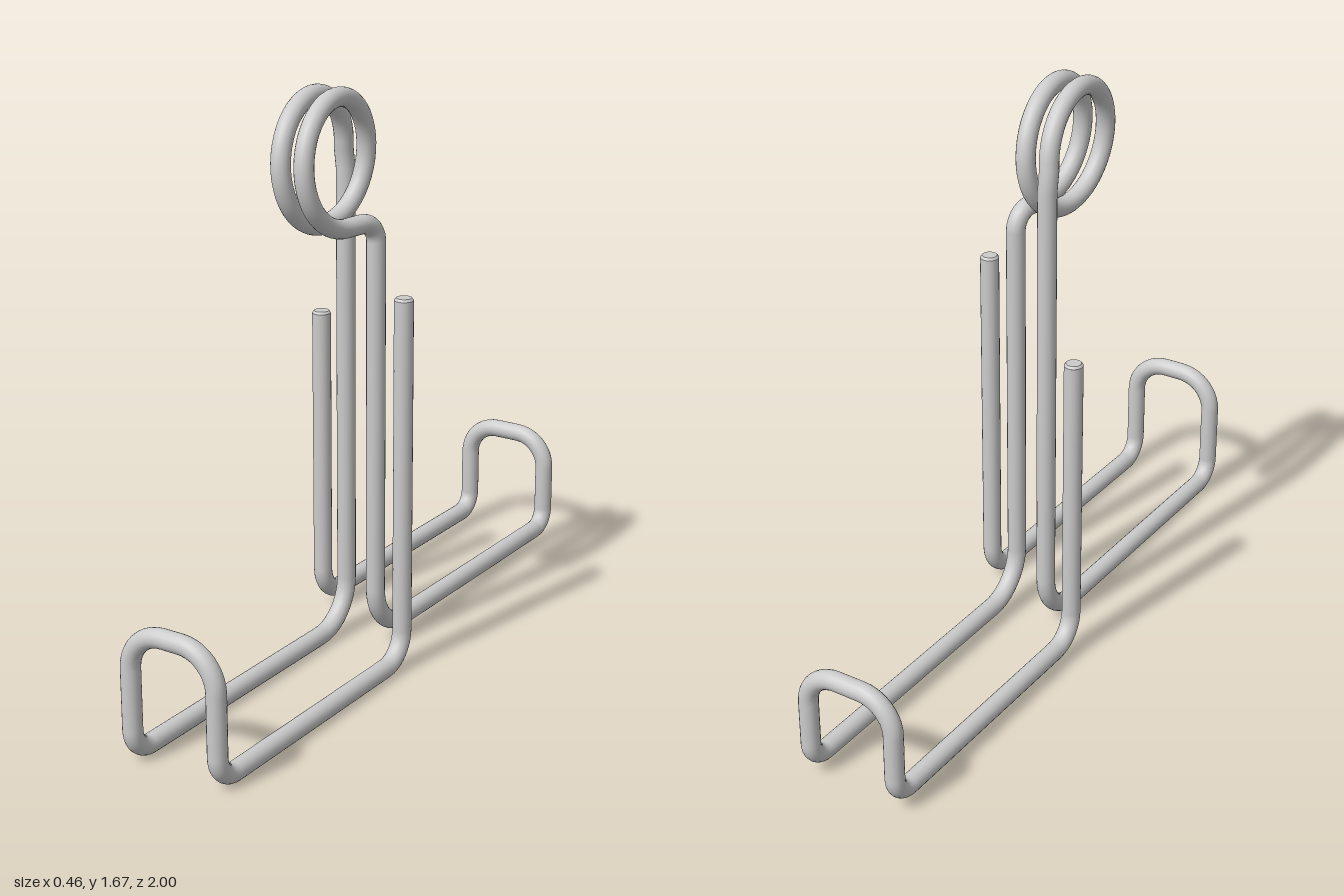
import * as THREE from 'three';

const R = 0.0275; // wire radius
const V = (x, y, z) => new THREE.Vector3(x, y, z);

// Curve that visits every sampled point in order, so bends keep their exact shape
class WireCurve extends THREE.Curve {
  constructor(points) {
    super();
    this.points = points;
  }
  index(t) {
    return Math.round(t * (this.points.length - 1));
  }
  getPoint(t, target = new THREE.Vector3()) {
    return target.copy(this.points[this.index(t)]);
  }
  getPointAt(t, target) {
    return this.getPoint(t, target);
  }
  getTangentAt(t, target = new THREE.Vector3()) {
    const i = this.index(t), p = this.points;
    const a = p[Math.max(i - 1, 0)], b = p[Math.min(i + 1, p.length - 1)];
    return target.subVectors(b, a).normalize();
  }
}

// Polyline with rounded corners; each corner is [x, y, z, bend radius]
function roundedPath(corners, steps = 10) {
  const pts = corners.map(c => V(c[0], c[1], c[2]));
  const out = [pts[0]];
  for (let i = 1; i < pts.length - 1; i++) {
    const r = corners[i][3];
    const toPrev = pts[i - 1].clone().sub(pts[i]).normalize();
    const toNext = pts[i + 1].clone().sub(pts[i]).normalize();
    const centre = pts[i].clone().addScaledVector(toPrev, r).addScaledVector(toNext, r);
    for (let k = 0; k <= steps; k++) {
      const a = (k / steps) * Math.PI / 2;
      out.push(centre.clone()
        .addScaledVector(toNext, -r * Math.cos(a))
        .addScaledVector(toPrev, -r * Math.sin(a)));
    }
  }
  out.push(pts[pts.length - 1]);
  return out;
}

export function createModel() {
  const model = new THREE.Group();
  model.name = 'wireStand';
  const material = new THREE.MeshStandardMaterial({ color: 0xcccccc });

  // Front post, front foot with its raised lip, and the rise to the coil
  const front = roundedPath([
    [0.202, 1.1, 0.097],
    [0.202, 0.028, 0.097, 0.09],
    [0.202, 0.028, 0.972, 0.07],
    [0.202, 0.387, 0.972, 0.11],
    [-0.076, 0.387, 0.972, 0.11],
    [-0.076, 0.028, 0.972, 0.07],
    [-0.076, 0.028, -0.033, 0.14],
    [-0.076, 1.41, -0.033],
  ]);

  // Coil: one and three quarter turns drifting towards +x
  const coil = [];
  const turns = 1.75, steps = 84, coilR = 0.177;
  for (let i = 0; i <= steps; i++) {
    const t = (i / steps) * turns, a = t * Math.PI * 2;
    coil.push(V(-0.075 + 0.075 * t, 1.471 + coilR * Math.sin(a), 0.155 - coilR * Math.cos(a)));
  }

  // Neck under the coil, drop to the back foot, its raised lip and the back post
  const back = roundedPath([
    [0.056, 1.294, 0.155],
    [0.074, 1.294, 0.04, 0.06],
    [0.074, 0.05, 0.04, 0.14],
    [0.074, 0.05, -0.972, 0.06],
    [0.074, 0.35, -0.972, 0.1],
    [-0.205, 0.35, -0.972, 0.1],
    [-0.205, 0.05, -0.972, 0.06],
    [-0.205, 0.05, -0.097, 0.09],
    [-0.205, 0.95, -0.097],
  ]).slice(1);

  const points = [...front, ...coil, ...back];
  const wire = new THREE.Mesh(
    new THREE.TubeGeometry(new WireCurve(points), points.length - 1, R, 20, false), material);
  wire.name = 'bentWire';
  model.add(wire);

  // Slightly chamfered tips on both posts
  const tip = new THREE.CylinderGeometry(R * 0.8, R, 0.007, 20);
  [['frontPostTip', points[0]], ['backPostTip', points[points.length - 1]]].forEach(([name, p]) => {
    const mesh = new THREE.Mesh(tip, material);
    mesh.name = name;
    mesh.position.copy(p);
    mesh.position.y += 0.0035;
    model.add(mesh);
  });

  return model;
}
